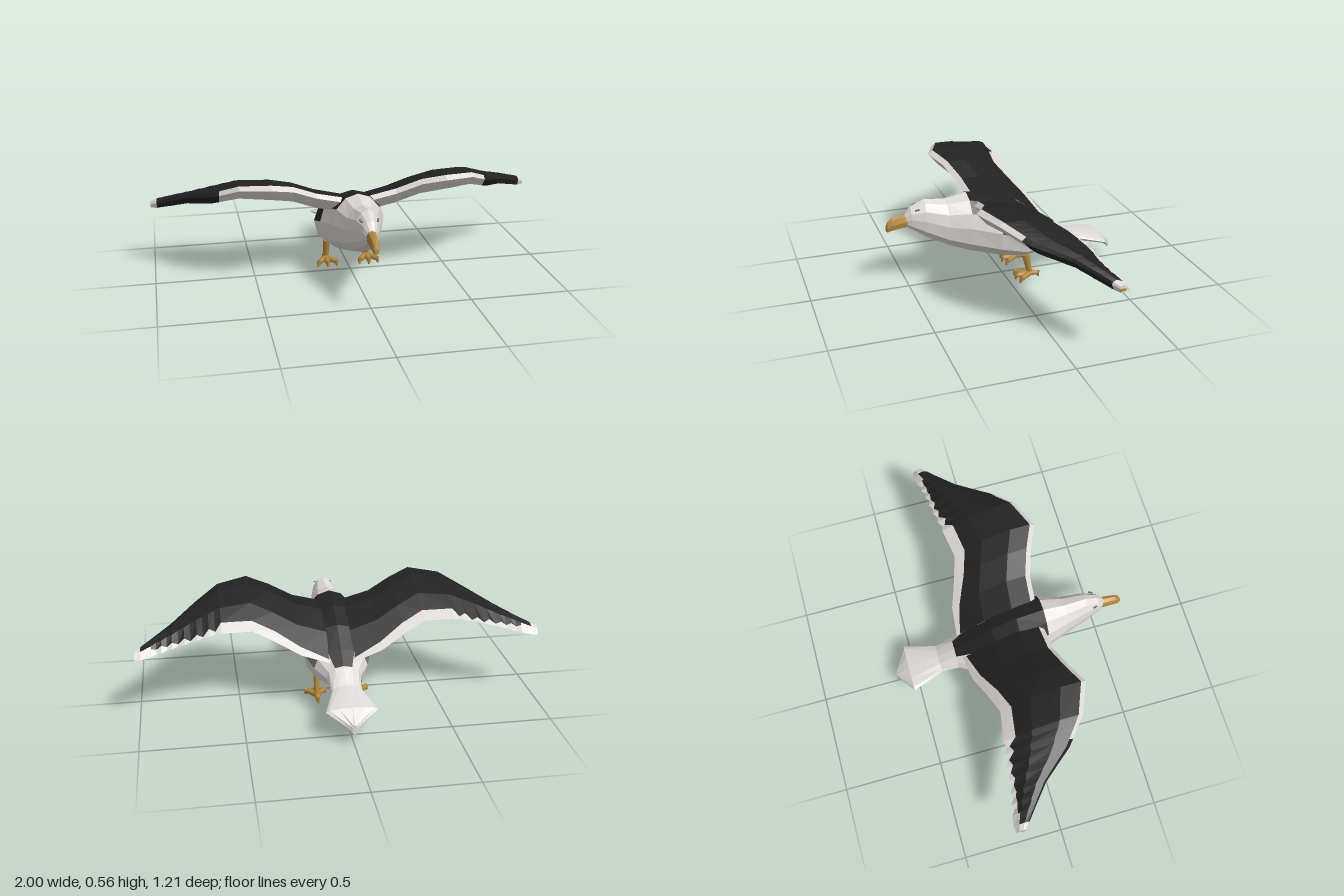
import * as THREE from 'three';

const mat = (name, color) => Object.assign(new THREE.MeshStandardMaterial({ color }), { name });

// Faceted skin through closed rings, with a colour index picked per panel
function loft(name, rings, mats, pick = () => 0, flip = false) {
  const n = rings[0].length;
  const faces = mats.map(() => []);
  const tri = (m, a, b, c) => faces[m].push(...a, ...(flip ? c : b), ...(flip ? b : c));
  for (let i = 0; i < rings.length - 1; i++) {
    for (let j = 0; j < n; j++) {
      const k = (j + 1) % n, m = pick(i, j);
      tri(m, rings[i][j], rings[i][k], rings[i + 1][k]);
      tri(m, rings[i][j], rings[i + 1][k], rings[i + 1][j]);
    }
  }
  const last = rings.length - 1;
  for (let j = 1; j < n - 1; j++) {
    tri(pick(0, 0), rings[0][0], rings[0][j + 1], rings[0][j]);
    tri(pick(last - 1, 0), rings[last][0], rings[last][j], rings[last][j + 1]);
  }
  const geo = new THREE.BufferGeometry();
  geo.setAttribute('position', new THREE.Float32BufferAttribute(faces.flat(), 3));
  let start = 0;
  faces.forEach((f, m) => {
    if (f.length) geo.addGroup(start, f.length / 3, m);
    start += f.length / 3;
  });
  geo.computeVertexNormals();
  const mesh = new THREE.Mesh(geo, mats);
  mesh.name = name;
  return mesh;
}

// Oval ring across z from its top, bottom and half width; the lower half is fuller
function oval([z, top, bottom, w], sides) {
  return Array.from({ length: sides }, (_, j) => {
    const t = (j / sides) * Math.PI * 2;
    const s = Math.sin(t), c = Math.cos(t), p = c < -0.01 ? 0.78 : 1;
    return [
      w * Math.sign(s) * Math.abs(s) ** p,
      (top + bottom) / 2 + (top - bottom) / 2 * Math.sign(c) * Math.abs(c) ** p,
      z,
    ];
  });
}

// Tapered rod between two points
function rod(name, a, b, ra, rb, material) {
  const A = new THREE.Vector3(...a), B = new THREE.Vector3(...b);
  const dir = B.clone().sub(A);
  const geo = new THREE.CylinderGeometry(rb, ra, dir.length(), 6);
  const mesh = new THREE.Mesh(geo, material);
  mesh.position.copy(A).add(B).multiplyScalar(0.5);
  mesh.quaternion.setFromUnitVectors(new THREE.Vector3(0, 1, 0), dir.normalize());
  mesh.name = name;
  return mesh;
}

// Wing stations: x, leading z, leading y, trailing z, trailing y, thickness, black share of chord
const STATIONS = [
  [0.06, 0.17, 0.425, -0.25, 0.265, 1.0, 0.96],
  [0.20, 0.18, 0.458, -0.235, 0.31, 1.0, 0.90],
  [0.32, 0.22, 0.512, -0.19, 0.37, 1.0, 0.87],
  [0.43, 0.27, 0.54, -0.155, 0.42, 1.0, 0.87],
  [0.58, 0.21, 0.53, -0.18, 0.43, 0.85, 0.85],
  [0.70, 0.11, 0.475, -0.20, 0.41, 0.75, 0.90],
  [0.82, -0.04, 0.43, -0.215, 0.38, 0.6, 0.84],
  [0.92, -0.125, 0.39, -0.235, 0.355, 0.55, 0.74],
  [0.97, -0.165, 0.37, -0.243, 0.345, 0.5, 0.72],
  [1.00, -0.19, 0.36, -0.24, 0.342, 0.4, 0.72],
];

function wing(side, mats) {
  const [WHITE, BLACK, GREY] = [0, 1, 2];
  const rows = [];
  STATIONS.forEach((s, i) => {
    const next = STATIONS[i + 1];
    const steps = s[0] >= 0.58 && s[0] < 0.92 ? 4 : 1;
    for (let k = 0; k < steps; k++) {
      const row = s.map((v, c) => (next ? v + (next[c] - v) * k / steps : v));
      // ragged feather ends along the outer trailing edge
      if (k % 2) {
        row[3] += 0.012;
        row[6] += 0.1;
      }
      rows.push(row);
    }
  });
  const rings = rows.map(([x, lz, ly, tz, ty, k, share]) => {
    const section = [
      [0, 0], [0.06, 0.028], [0.3, 0.055], [0.65, 0.05],
      [share, 0.05 * (1 - share) / 0.35],
      [1, 0], [0.7, 0.012], [0.12, -0.045],
    ];
    return section.map(([f, off]) => [side * x, ly + (ty - ly) * f + off * k, lz + (tz - lz) * f]);
  });
  const pick = (i, j) => {
    const x = rows[i][0];
    if (x > 0.95 || j === 4) return WHITE;
    if (j === 0 || j === 7) return x < 0.66 ? WHITE : BLACK;
    if (j === 3 && x > 0.9) return WHITE;
    if (j === 6 && x < 0.2) return GREY;
    return BLACK;
  };
  return loft(side > 0 ? 'leftWing' : 'rightWing', rings, mats, pick, side > 0);
}

function leg(side, horn) {
  const g = new THREE.Group();
  g.name = side > 0 ? 'leftLeg' : 'rightLeg';
  const ankle = [side * 0.11, 0.028, -0.115];
  g.add(rod('shin', [side * 0.108, 0.135, -0.092], ankle, 0.019, 0.014, horn));
  // three front toes and one hind toe, each with a claw
  [[-0.045, -0.055], [0, -0.045], [0.045, -0.055], [0, -0.156]].forEach(([dx, z]) => {
    const tip = [side * 0.11 + dx, 0.024, z];
    const dz = Math.sign(z + 0.115) * 0.008;
    g.add(rod('toe', ankle, tip, 0.016, 0.013, horn));
    g.add(rod('claw', [tip[0], 0.03, z], [tip[0] + dx * 0.12, 0.002, z + dz], 0.013, 0.005, horn));
  });
  return g;
}

export function createModel() {
  const white = mat('white plumage', 0xdedad7);
  const black = mat('black plumage', 0x222222);
  const grey = mat('grey plumage', 0x707070);
  const horn = mat('ochre beak and legs', 0xb88b3e);
  const plumage = [white, black, grey];
  const bird = new THREE.Group();
  bird.name = 'bird';

  // Head, body and fanned tail: z, top, bottom, half width
  const body = [
    [0.515, 0.392, 0.342, 0.016],
    [0.48, 0.435, 0.318, 0.038],
    [0.41, 0.467, 0.268, 0.062],
    [0.30, 0.455, 0.21, 0.088],
    [0.19, 0.475, 0.17, 0.125],
    [0.05, 0.45, 0.135, 0.165],
    [-0.08, 0.395, 0.112, 0.175],
    [-0.20, 0.315, 0.125, 0.135],
    [-0.28, 0.26, 0.138, 0.085],
    [-0.37, 0.20, 0.15, 0.075],
    [-0.53, 0.163, 0.128, 0.125],
    [-0.603, 0.11, 0.058, 0.012],
  ];
  bird.add(loft('body', body.map((s) => oval(s, 12)), plumage, (i, j) => {
    const fromTop = Math.min(j, 11 - j);
    if (i >= 4 && i <= 6 && fromTop < 2) return 1;
    if (fromTop === 2 && i === 5) return 1;
    if (fromTop === 2 && i === 6) return 2;
    if (i === 7 && fromTop === 0) return 1;
    return 0;
  }));

  // Hooked beak
  const beak = [
    [0.49, 0.402, 0.33, 0.026],
    [0.53, 0.396, 0.326, 0.024],
    [0.575, 0.387, 0.318, 0.02],
    [0.597, 0.368, 0.313, 0.016],
    [0.605, 0.345, 0.318, 0.008],
  ];
  bird.add(loft('beak', beak.map((s) => oval(s, 8)), [horn], () => 0, true));

  for (const side of [1, -1]) {
    bird.add(wing(side, plumage));
    bird.add(leg(side, horn));

    // ochre fleck on the very tip of the wing
    const fleck = new THREE.Mesh(new THREE.BoxGeometry(0.006, 0.014, 0.028), horn);
    fleck.name = 'wingTipFleck';
    fleck.position.set(side * 0.998, 0.352, -0.205);
    bird.add(fleck);

    // narrow grey eye on the side of the head
    const eye = new THREE.Mesh(new THREE.BoxGeometry(0.008, 0.006, 0.022), grey);
    eye.name = 'eye';
    eye.position.set(side * 0.041, 0.428, 0.452);
    eye.rotation.set(0.35, side * -0.35, 0);
    bird.add(eye);
  }
  return bird;
}
